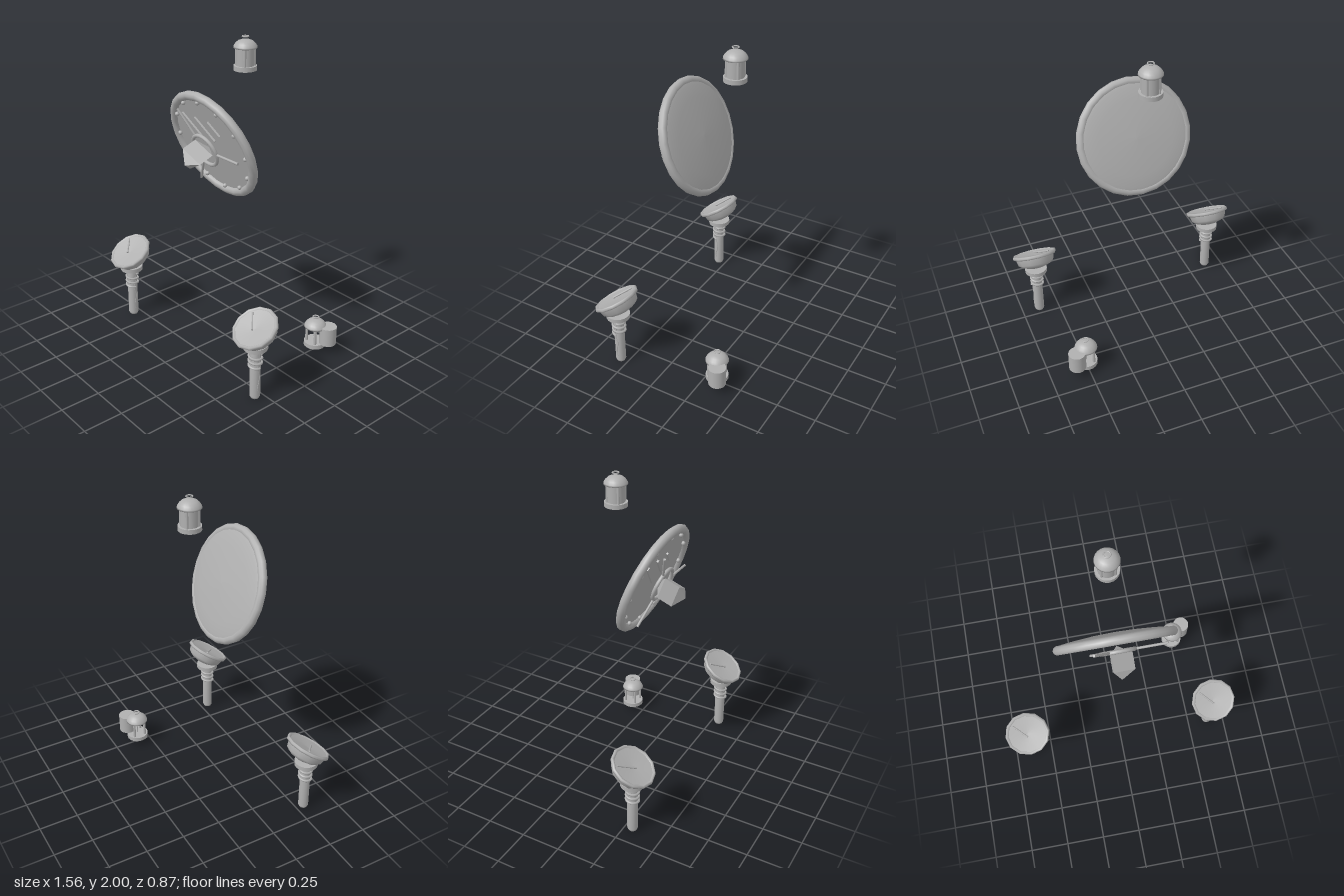
import * as THREE from 'three';

const grey = new THREE.MeshStandardMaterial({ color: 0xb0b0b0 });
grey.name = 'grey';

function add(parent, name, geometry, x = 0, y = 0, z = 0) {
  const mesh = new THREE.Mesh(geometry, grey);
  mesh.name = name;
  mesh.position.set(x, y, z);
  parent.add(mesh);
  return mesh;
}

const group = (name) => Object.assign(new THREE.Group(), { name });
const lathe = (pts, n) => new THREE.LatheGeometry(pts.map((p) => new THREE.Vector2(...p)), n);
const cyl = (rTop, rBottom, h, n) => new THREE.CylinderGeometry(rTop, rBottom, h, n);

// Thin round bar between two points
function rod(parent, name, a, b, r) {
  const from = new THREE.Vector3(...a), to = new THREE.Vector3(...b);
  const mesh = add(parent, name, cyl(r, r, from.distanceTo(to), 8));
  mesh.position.copy(from).lerp(to, 0.5);
  mesh.quaternion.setFromUnitVectors(new THREE.Vector3(0, 1, 0), to.sub(from).normalize());
}

// Large tilted disc with studs, spoked wheel and faceted hub
function makeDisc() {
  const disc = group('disc');
  disc.position.set(0, 1.378, 0.095);
  disc.rotation.x = 0.35;
  add(disc, 'discRim', new THREE.TorusGeometry(0.341, 0.028, 10, 24));
  const back = lathe([[0, -0.05], [0.12, -0.047], [0.24, -0.038], [0.31, -0.03], [0.345, -0.02]], 32);
  add(disc, 'discBack', back.rotateX(Math.PI / 2));
  add(disc, 'discFace', new THREE.CircleGeometry(0.335, 32), 0, 0, 0.003);

  for (let i = 0; i < 12; i++) {
    const a = (i * Math.PI) / 6;
    add(disc, 'stud', new THREE.SphereGeometry(0.014, 10, 8), 0.306 * Math.cos(a), 0.306 * Math.sin(a), 0.012);
  }

  // Slanted bars on the face, shorter toward the right
  [[-0.205, 0.25, 0.022], [-0.085, 0.19, 0.015], [0.035, 0.115, 0.011]].forEach(([x, length, width]) => {
    const d = length * 0.5;
    const bar = add(disc, 'faceBar', new THREE.BoxGeometry(length, width, 0.012), x + d * 0.69, 0.18 - d * 0.72, 0.012);
    bar.rotation.z = -0.81;
  });

  // Wheel and its three spokes
  add(disc, 'wheelRing', new THREE.TorusGeometry(0.104, 0.012, 8, 24), 0, 0, 0.065);
  for (let i = 0; i < 3; i++) {
    const a = (i * 2 * Math.PI) / 3, c = Math.cos(a), s = Math.sin(a);
    rod(disc, 'spoke', [c * 0.1, s * 0.1, 0.065], [c * 0.298, s * 0.298, 0.065], 0.008);
  }

  // Three-sided hub with pointed ends
  const hub = new THREE.SphereGeometry(0.1, 3, 3).toNonIndexed();
  hub.rotateX(Math.PI / 2).rotateZ(Math.PI);
  hub.computeVertexNormals();
  add(disc, 'hub', hub, 0, 0, 0.131);
  return disc;
}

// Lantern standing on its own base; the glass can sit away from the frame
function makeLantern(x, y, z, glassX, glassZ) {
  const lantern = group('lantern');
  lantern.position.set(x, y, z);
  add(lantern, 'lanternBase', cyl(0.071, 0.071, 0.028, 20), 0, 0.014, 0);
  add(lantern, 'lanternGlass', cyl(0.055, 0.055, 0.122, 20), glassX, 0.089, glassZ);
  for (const sx of [-1, 1]) {
    for (const sz of [-1, 1]) {
      add(lantern, 'lanternPost', cyl(0.009, 0.009, 0.115, 8), sx * 0.038, 0.084, sz * 0.038);
    }
  }
  add(lantern, 'wick', cyl(0.004, 0.004, 0.11, 6), 0, 0.08, 0);
  add(lantern, 'lanternRoof', lathe([[0, 0.135], [0.073, 0.135], [0.071, 0.145], [0.061, 0.161],
    [0.046, 0.175], [0.025, 0.183], [0, 0.185]], 20));
  const ring = add(lantern, 'lanternRing', new THREE.TorusGeometry(0.019, 0.004, 6, 16), 0, 0.202, 0);
  ring.rotation.x = Math.PI / 2;
  return lantern;
}

// Post with a coil, collar and tilted dial
function makeDialPost(x) {
  const stand = group('dialPost');
  stand.position.set(x, 0, 0.302);
  add(stand, 'post', lathe([[0, 0], [0.026, 0], [0.033, 0.016], [0.033, 0.36], [0, 0.36]], 14));
  add(stand, 'collar', cyl(0.074, 0.074, 0.028, 16), 0, 0.36, 0);

  const coil = [];
  for (let i = 0; i <= 36; i++) {
    const a = (i / 36) * Math.PI * 6;
    coil.push(new THREE.Vector3(0.039 * Math.cos(a), 0.22 + 0.095 * (i / 36), 0.039 * Math.sin(a)));
  }
  add(stand, 'coil', new THREE.TubeGeometry(new THREE.CatmullRomCurve3(coil), 72, 0.008, 6));

  // Wavy wire up the side of the post
  const wire = [];
  for (let i = 0; i <= 8; i++) {
    wire.push(new THREE.Vector3(0.031, 0.05 + i * 0.037, 0.007 * Math.sin(i * 1.7)));
  }
  add(stand, 'wire', new THREE.TubeGeometry(new THREE.CatmullRomCurve3(wire), 24, 0.004, 6));

  const dial = group('dial');
  dial.position.set(0, 0.49, 0.012);
  dial.rotation.x = 0.55;
  stand.add(dial);
  add(dial, 'bowl', lathe([[0, -0.105], [0.055, -0.098], [0.098, -0.082], [0.12, -0.063], [0.131, -0.02]], 12));
  const rim = lathe([[0.126, -0.024], [0.142, -0.022], [0.147, -0.012], [0.143, -0.001],
    [0.134, 0.002], [0.125, -0.006]], 12);
  add(dial, 'dialRim', rim);
  add(dial, 'dialFace', lathe([[0.128, -0.005], [0.07, -0.011], [0, -0.016]], 12));
  rod(dial, 'needle', [-0.085, 0, -0.07], [0, 0, 0.02], 0.006);
  return stand;
}

export function createModel() {
  const model = group('model');
  model.add(makeDisc());
  model.add(makeLantern(0, 1.794, -0.157, 0, 0));
  model.add(makeLantern(0.505, 0.041, -0.335, 0.073, -0.042));
  for (const side of [-1, 1]) model.add(makeDialPost(side * 0.632));
  return model;
}
